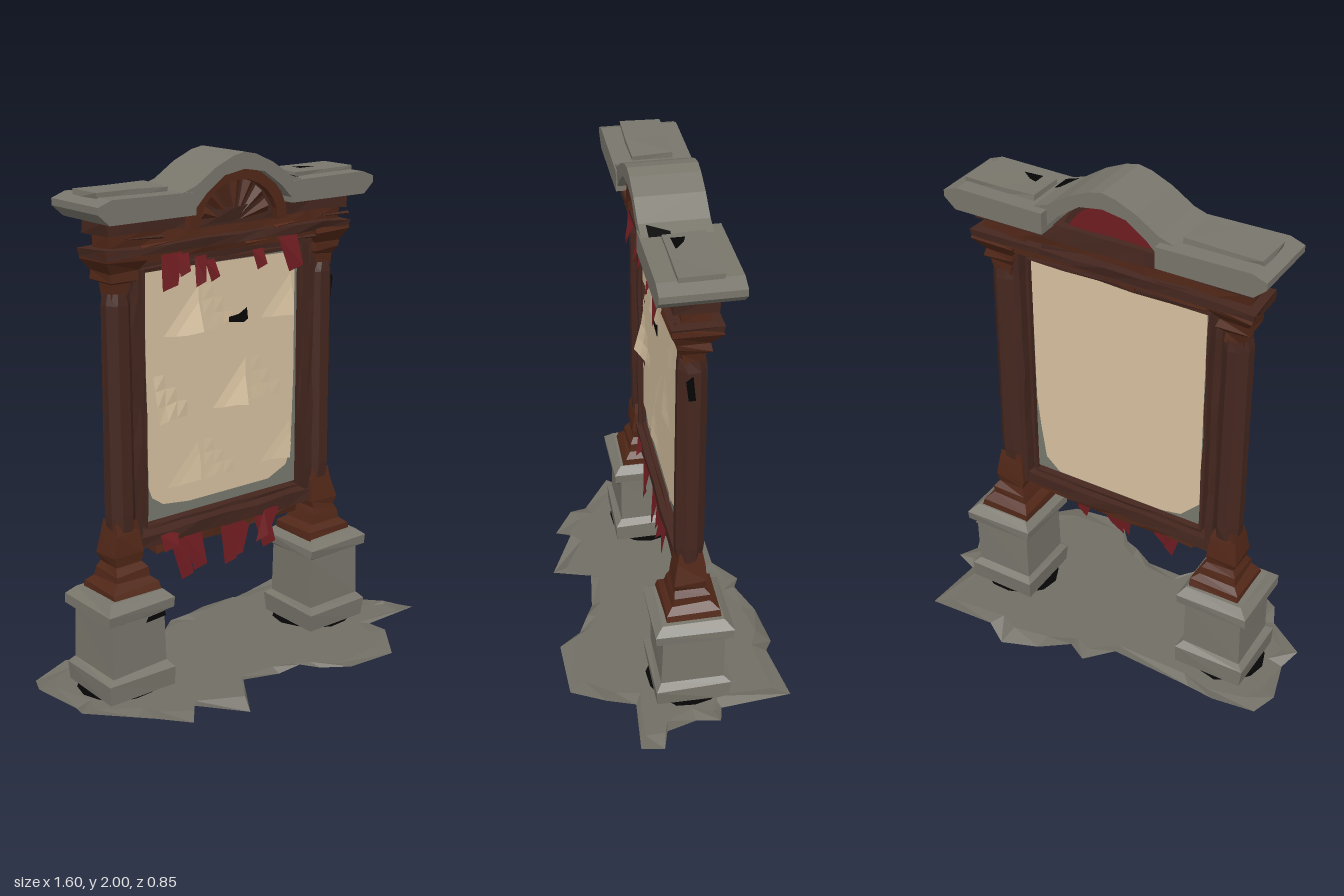
import * as THREE from 'three';

const paint = (name, color, side = THREE.FrontSide) => {
  const m = new THREE.MeshStandardMaterial({ color, side });
  m.name = name;
  return m;
};

// Stable pseudo-random value in -1..1 from a position
const hash = (x, y, z) => {
  const s = Math.sin(x * 127.1 + y * 311.7 + z * 74.7) * 43758.5453;
  return (s - Math.floor(s)) * 2 - 1;
};

// Split faces so that every facet is flat
const flat = (g) => {
  const f = g.index ? g.toNonIndexed() : g;
  f.computeVertexNormals();
  return f;
};

// Move vertices a little so edges look hand-hewn
const roughen = (g, a) => {
  const p = g.attributes.position;
  for (let i = 0; i < p.count; i++) {
    const [x, y, z] = [p.getX(i), p.getY(i), p.getZ(i)].map((v) => Math.round(v * 1000) / 1000);
    p.setXYZ(i, x + a * hash(x, y, z), y + a * hash(y, z, x), z + a * hash(z, x, y));
  }
  return g;
};

const shapeOf = (pts) => new THREE.Shape(pts.map(([x, y]) => new THREE.Vector2(x, y)));

// Fan of triangles over a small 3D polygon
const patch = (pts) => {
  const g = new THREE.BufferGeometry();
  g.setAttribute('position', new THREE.Float32BufferAttribute(pts.flat(), 3));
  g.setIndex(pts.slice(2).flatMap((_, i) => [0, i + 1, i + 2]));
  return g;
};

export function createModel() {
  const stone = paint('stone', 0x79766c);
  const ground = paint('ground stone', 0x716e65, THREE.DoubleSide);
  const wood = paint('dark wood', 0x45271f);
  const trim = paint('russet wood', 0x522818);
  const cloth = paint('red cloth', 0x701d21, THREE.DoubleSide);
  const paper = paint('parchment', 0xd8c2a1, THREE.DoubleSide);
  const backing = paint('board grey', 0x777a6e);
  const black = paint('black stain', 0x050505, THREE.DoubleSide);

  const model = new THREE.Group();
  const stand = new THREE.Group();
  stand.name = 'noticeBoard';
  stand.position.set(-0.03, 0, -0.05);
  model.add(stand);

  const add = (name, geo, mat, parent = stand) => {
    const m = new THREE.Mesh(flat(geo), mat);
    m.name = name;
    parent.add(m);
    return m;
  };

  // Rough bar given by its limits
  const bar = (name, mat, x0, x1, y0, y1, z0, z1, rough = 0.005) => {
    const size = [x1 - x0, y1 - y0, z1 - z0];
    const g = new THREE.BoxGeometry(...size, ...size.map((s) => Math.max(1, Math.round(s / 0.14))));
    g.translate((x0 + x1) / 2, (y0 + y1) / 2, (z0 + z1) / 2);
    return add(name, roughen(g, rough), mat);
  };

  // Square or octagonal turned piece; profile is [half width, y]
  const turned = (name, mat, x, sides, profile, rough) => {
    const k = 1 / Math.cos(Math.PI / sides);
    const g = new THREE.LatheGeometry(profile.map(([r, y]) => new THREE.Vector2(r * k, y)), sides);
    g.rotateY(Math.PI / sides).translate(x, 0, 0);
    return add(name, roughen(g, rough), mat);
  };

  const slab = (name, mat, pts, z0, z1) => {
    const g = new THREE.ExtrudeGeometry(shapeOf(pts), { depth: z1 - z0, bevelEnabled: false });
    return add(name, g.translate(0, 0, z0), mat);
  };

  // Ragged paving: a level middle, a drooping rim and dark pits beneath the plinths
  const edge = [[-0.8, -0.18], [-0.76, -0.27], [-0.6, -0.31], [-0.48, -0.28], [-0.15, -0.28],
    [-0.05, -0.37], [0.02, -0.34], [0.14, -0.4], [0.3, -0.43], [0.38, -0.39], [0.64, -0.42],
    [0.64, -0.15], [0.72, -0.13], [0.69, -0.04], [0.74, 0.08], [0.8, 0.1], [0.8, 0.19],
    [0.57, 0.17], [0.55, 0.28], [0.46, 0.41], [0.23, 0.42], [0.15, 0.33], [0.08, 0.29],
    [0, 0.26], [-0.16, 0.24], [-0.25, 0.39], [-0.43, 0.29], [-0.48, 0.35], [-0.59, 0.27],
    [-0.62, 0.2], [-0.78, 0.08], [-0.75, 0]];
  const inner = edge.map(([x, z]) => [x * 0.92, z * 0.86]);
  const paving = shapeOf(inner.map(([x, z]) => [x, -z]));
  for (const x of [-0.515, 0.455]) {
    const pit = Array.from({ length: 14 }, (_, i) => {
      const a = (i / 14) * Math.PI * 2, r = 1 + 0.07 * hash(i, x, 2);
      return new THREE.Vector2(x + 0.168 * r * Math.cos(a), 0.05 + 0.155 * r * Math.sin(a));
    });
    paving.holes.push(new THREE.Path(pit));
    add('pit', new THREE.ShapeGeometry(new THREE.Shape(pit)).rotateX(-Math.PI / 2).translate(0, 0.045, 0), black, model);
  }
  add('paving', new THREE.ShapeGeometry(paving).rotateX(-Math.PI / 2).translate(0, 0.045, 0), ground, model);
  const rimY = (i) => (i === 8 ? 0 : i === 25 ? 0.01 : [0.05, 0.035, 0.055, 0.03][i % 4]);
  edge.forEach(([x, z], i) => {
    const j = (i + 1) % edge.length;
    add('pavingRim', patch([[x, rimY(i), z], [inner[i][0], 0.045, inner[i][1]],
      [inner[j][0], 0.045, inner[j][1]], [edge[j][0], rimY(j), edge[j][1]]]), ground, model);
  });

  for (const s of [-1, 1]) {
    // Stone plinth
    turned('plinth', stone, s * 0.485, 4, [[0.14, 0.03], [0.145, 0.12], [0.122, 0.14],
      [0.12, 0.345], [0.145, 0.36], [0.147, 0.4], [0.115, 0.43], [0, 0.43]], 0.004);
    // Stepped foot, column and capital
    turned('columnFoot', trim, s * 0.475, 4, [[0.105, 0.42], [0.1, 0.455], [0.075, 0.48],
      [0.07, 0.51], [0.055, 0.54], [0.062, 0.57], [0.05, 0.65], [0.04, 0.7]], 0.006);
    turned('column', wood, s * 0.473, 8, [[0.048, 0.66], [0.052, 0.72], [0.05, 1.5], [0.044, 1.54]], 0.003);
    turned('capital', trim, s * 0.473, 4, [[0.035, 1.52], [0.04, 1.57], [0.06, 1.59],
      [0.055, 1.62], [0.085, 1.66], [0.085, 1.69]], 0.006);

    // Frame uprights with a narrow inner bead
    const span = (a, b) => (s < 0 ? [-b, -a] : [a, b]);
    bar('frameSide', wood, ...span(0.397, 0.428), 0.57, 1.66, -0.035, 0.035);
    bar('innerBeadSide', wood, ...span(0.364, 0.376), 0.645, 1.61, -0.025, 0.025, 0.003);
    bar('bracket', trim, ...span(0.41, 0.5), 0.57, 0.64, -0.03, 0.03, 0.008);

    // Roof wing with a raised plate on top
    const wing = [[0.22, 1.8], [0.58, 1.8], [0.625, 1.84], [0.625, 1.865], [0.57, 1.885], [0.22, 1.88]];
    slab('roofWing', stone, wing.map(([x, y]) => [s * x, y]), -0.145, 0.14);
    bar('roofPlate', stone, ...span(0.29, 0.58), 1.87, 1.9, -0.08, 0.07, 0.004);
  }

  // Frame rails
  bar('frameTop', wood, -0.43, 0.43, 1.62, 1.66, -0.035, 0.04);
  bar('frameBottom', wood, -0.43, 0.43, 0.57, 0.62, -0.035, 0.045);
  bar('frameApron', trim, -0.34, 0.36, 0.54, 0.575, -0.02, 0.03, 0.008);
  bar('innerBeadTop', wood, -0.37, 0.37, 1.6, 1.612, -0.025, 0.025, 0.003);
  bar('innerBeadBottom', wood, -0.37, 0.37, 0.635, 0.648, -0.025, 0.025, 0.003);

  // Board with a parchment sheet on each face
  bar('board', backing, -0.36, 0.36, 0.66, 1.6, -0.012, 0.01, 0);
  const sheet = shapeOf([[-0.358, 1.598], [-0.355, 0.79], [-0.34, 0.75], [-0.29, 0.715], [-0.17, 0.7],
    [0.22, 0.7], [0.31, 0.74], [0.335, 0.8], [0.345, 1.1], [0.345, 1.59]]);
  add('frontSheet', new THREE.ShapeGeometry(sheet).translate(0, 0, 0.014), paper);
  const backSheet = shapeOf([[-0.358, 1.598], [-0.358, 0.76], [-0.28, 0.68], [-0.2, 0.665],
    [0.26, 0.665], [0.32, 0.72], [0.34, 0.86], [0.355, 1.0], [0.358, 1.598]]);
  add('backSheet', new THREE.ShapeGeometry(backSheet).translate(0, 0, -0.016), paper);

  // Pinned notes, each with one corner curling forward
  [[1.465, 0.22], [1.16, 0.23], [0.88, 0.2]].forEach(([y, h], row) => {
    [-0.232, -0.01, 0.218].forEach((x, col) => {
      const g = new THREE.PlaneGeometry(0.2, h, 4, 4);
      const p = g.attributes.position;
      const curl = 0.005 + 0.035 * Math.abs(hash(row, col, 3));
      const side = (row + col) % 2 ? -1 : 1;
      for (let i = 0; i < p.count; i++) {
        const u = p.getX(i) / 0.1, v = p.getY(i) / (h / 2);
        const lift = Math.max(0, (side * u - v) / 2 - 0.35);
        const wob = 0.005 * hash(u + row, v + col, 1);
        p.setXYZ(i, p.getX(i) + wob, p.getY(i) + wob, 0.026 + curl * lift * 1.5);
      }
      g.rotateZ(0.03 * hash(col, row, 5)).translate(x, y, 0);
      add('note', g, paper);
    });
  });

  // Stepped wooden cornice with splintered strips
  bar('corniceLower', trim, -0.5, 0.5, 1.645, 1.675, -0.06, 0.06, 0.007);
  bar('corniceLedge', wood, -0.56, 0.56, 1.67, 1.7, -0.085, 0.085, 0.007);
  bar('corniceFrieze', trim, -0.53, 0.53, 1.7, 1.75, -0.05, 0.05, 0.006);
  bar('corniceUpper', wood, -0.55, 0.55, 1.75, 1.805, -0.075, 0.08, 0.006);
  for (let i = 0; i < 14; i++) {
    const x = -0.48 + i * 0.074;
    const g = new THREE.ConeGeometry(0.009, 0.15 + 0.04 * hash(i, 1, 2), 3);
    g.rotateZ((i % 2 ? 1 : -1) * (Math.PI / 2 - 0.12 * Math.abs(hash(i, 4, 6))));
    add('splinter', g.translate(x, 1.69 + 0.045 * hash(i, 2, 7), (i % 3 ? 1 : -1) * 0.075), i % 2 ? wood : trim);
  }

  // Wooden lunette with a fan of ribs, red on the recessed back
  const arc = (r, h) => Array.from({ length: 13 }, (_, i) => {
    const a = (i / 12) * Math.PI;
    return [Math.cos(a) * r, 1.74 + Math.sin(a) * h];
  });
  slab('lunette', wood, arc(0.21, 0.19), -0.04, 0.075);
  slab('lunetteMoulding', trim, [...arc(0.225, 0.2), ...arc(0.18, 0.16).reverse()], 0.06, 0.105);
  slab('lunetteBack', cloth, arc(0.185, 0.175), -0.047, -0.041);
  for (let i = 0; i < 7; i++) {
    const a = (i - 3) * 0.42;
    const g = new THREE.ConeGeometry(0.026, 0.13, 4).rotateX(Math.PI).scale(1, 1, 0.6);
    g.translate(0, 0.09, 0).rotateZ(a).translate(0, 1.745, 0.076);
    add('fanRib', g, trim);
  }

  // Curved stone hood over the lunette
  const hood = [[0.29, 1.875], [0.215, 1.9], [0.13, 1.955], [0.05, 1.99], [0, 2]];
  const under = [[0, 1.94], [0.09, 1.925], [0.17, 1.87], [0.23, 1.81], [0.29, 1.81]];
  const mirror = (pts) => pts.slice().reverse().map(([x, y]) => [-x, y]);
  slab('roofHood', stone, [...hood, ...mirror(hood).slice(1), ...mirror(under), ...under.slice(1)], -0.11, 0.135);

  // Black stains on the roof, notes, plinth and column
  const stains = [
    [[0.225, 1.901, 0.11], [0.28, 1.884, 0.11], [0.28, 1.884, 0.035], [0.26, 1.89, 0.035]],
    [[0.335, 1.907, 0.05], [0.41, 1.907, 0.045], [0.365, 1.907, 0.01], [0.335, 1.907, 0]],
    [[0, 1.37, 0.045], [0.07, 1.36, 0.045], [0.09, 1.37, 0.045], [0.085, 1.415, 0.045], [0.05, 1.395, 0.045], [0, 1.39, 0.045]],
    [[-0.46, 0.325, 0.13], [-0.37, 0.33, 0.13], [-0.375, 0.35, 0.13], [-0.45, 0.345, 0.13]],
    [[0.529, 1.39, 0.02], [0.529, 1.39, -0.005], [0.529, 1.49, 0.005], [0.529, 1.47, 0.03]],
  ];
  stains.forEach((pts) => add('stain', patch(pts), black));

  // Torn red pennants: left x, right x, top y, tip x, tip y, depth
  const pennants = [[-0.33, -0.23, 1.665, -0.3, 1.535, 0.08], [-0.27, -0.21, 1.66, -0.24, 1.58, 0.09],
    [-0.18, -0.12, 1.64, -0.16, 1.53, 0.075], [-0.13, -0.08, 1.62, -0.09, 1.54, 0.07],
    [0.08, 0.14, 1.635, 0.12, 1.56, 0.08], [0.2, 0.3, 1.67, 0.28, 1.535, 0.085],
    [-0.33, -0.24, 0.61, -0.29, 0.54, 0.05], [-0.28, -0.2, 0.59, -0.2, 0.4, 0.03],
    [-0.22, -0.13, 0.58, -0.15, 0.43, 0.045], [-0.04, 0.04, 0.58, 0, 0.41, 0.04],
    [0.01, 0.13, 0.57, 0.03, 0.42, 0.03], [0.12, 0.21, 0.59, 0.2, 0.43, 0.035],
    [0.17, 0.26, 0.59, 0.15, 0.47, 0.05]];
  for (const [x0, x1, y, tx, ty, z] of pennants) {
    const w = (x1 - x0) * 0.28;
    add('pennant', patch([[x0, y, z], [tx - w, ty, z + 0.005], [tx + w, ty + 0.02, z + 0.02], [x1, y, z - 0.01]]), cloth);
  }
  return model;
}
